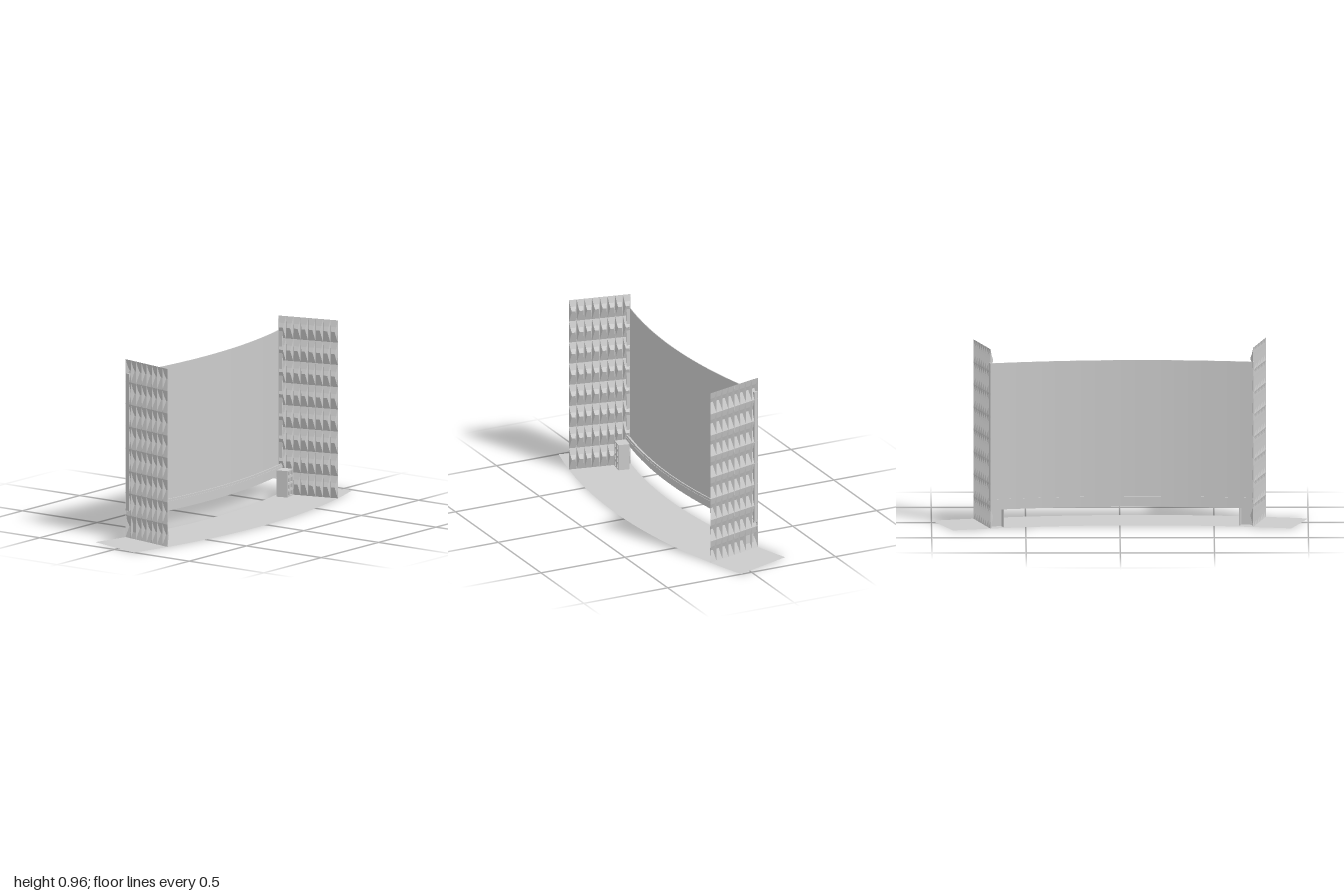
import * as THREE from 'three';

const CX = -0.11, CZ = -3.1;          // centre of the curved plan
const R_IN = 3.01, R_OUT = 3.35;
const T_LEFT = -0.2, T_RIGHT = 0.268; // angles of the two side walls

const mat = new THREE.MeshStandardMaterial({ color: 0xcccccc, flatShading: true, side: THREE.DoubleSide });

function add(parent, geo, name) {
  const mesh = new THREE.Mesh(geo, mat);
  mesh.name = name;
  parent.add(mesh);
  return mesh;
}

// Plan outline of a ring sector between two radii and two angles
function sectorShape(r0, r1, t0, t1) {
  const s = new THREE.Shape();
  s.absarc(CX, CZ, r1, Math.PI / 2 - t0, Math.PI / 2 - t1, true);
  s.absarc(CX, CZ, r0, Math.PI / 2 - t1, Math.PI / 2 - t0, false);
  s.closePath();
  return s;
}

// Curved bar standing between y0 and y1
function curvedBar(r0, r1, y0, y1, t0 = T_LEFT, t1 = T_RIGHT, segments = 10) {
  const geo = new THREE.ExtrudeGeometry(sectorShape(r0, r1, t0, t1),
    { depth: y1 - y0, bevelEnabled: false, curveSegments: segments });
  geo.rotateX(Math.PI / 2);
  geo.translate(0, y1, 0);
  return geo;
}

// Thin wall pressed into rows of pockets that bulge towards the middle
function reliefWall(t, inward) {
  const cols = 8, rows = 8, height = 0.965, depth = 0.018;
  const profile = [[0, 0], [0.5, 1], [0.7, 0.5], [1, 0]]; // height in cell, bulge
  const pos = [], idx = [];
  for (let c = 0; c < cols; c++) {
    for (let r = 0; r < rows; r++) {
      const base = pos.length / 3;
      for (const [v, h] of profile) {
        const inset = 0.02 + 0.24 * h;
        [[0, 0], [inset, h], [1 - inset, h], [1, 0]].forEach(([u, bulge]) => {
          const rad = R_IN + (R_OUT - R_IN) * (c + u) / cols;
          const off = bulge * depth * inward;
          pos.push(CX + rad * Math.sin(t) + off * Math.cos(t),
            height * (r + v) / rows,
            CZ + rad * Math.cos(t) - off * Math.sin(t));
        });
      }
      for (let j = 0; j < 3; j++) {
        for (let i = 0; i < 3; i++) {
          const a = base + j * 4 + i;
          idx.push(a, a + 1, a + 5, a, a + 5, a + 4);
        }
      }
    }
  }
  const geo = new THREE.BufferGeometry();
  geo.setAttribute('position', new THREE.Float32BufferAttribute(pos, 3));
  geo.setIndex(idx);
  geo.computeVertexNormals();
  return geo;
}

// Small cabinet with a front grid of openings and an open back
function cabinet(name) {
  const g = new THREE.Group();
  g.name = name;
  const w = 0.072, h = 0.143, d = 0.062, wall = 0.004;
  const front = new THREE.Shape([[0, 0], [w, 0], [w, h], [0, h]].map(p => new THREE.Vector2(...p)));
  const cw = w / 2, ch = h / 4, m = 0.006;
  for (let i = 0; i < 2; i++) {
    for (let j = 0; j < 4; j++) {
      const x0 = i * cw + m, x1 = (i + 1) * cw - m, y0 = j * ch + m, y1 = (j + 1) * ch - m;
      front.holes.push(new THREE.Path([[x0, y0], [x0, y1], [x1, y1], [x1, y0]].map(p => new THREE.Vector2(...p))));
    }
  }
  const grid = new THREE.ExtrudeGeometry(front, { depth: 0.012, bevelEnabled: false });
  grid.translate(-w / 2, 0, d / 2 - 0.012);
  add(g, grid, 'frontGrid');
  add(g, new THREE.BoxGeometry(w, h, wall), 'innerPanel').position.set(0, h / 2, d / 2 - 0.018);
  add(g, new THREE.BoxGeometry(w, wall, d), 'top').position.y = h - wall / 2;
  for (const s of [-1, 1]) {
    add(g, new THREE.BoxGeometry(wall, h, d), 'side').position.set(s * (w - wall) / 2, h / 2, 0);
  }
  return g;
}

export function createModel() {
  const model = new THREE.Group();
  model.name = 'curvedStage';

  // Floor sheet
  const floor = new THREE.ShapeGeometry(sectorShape(R_IN, R_OUT, -0.269, 0.337), 24);
  floor.rotateX(Math.PI / 2);
  add(model, floor, 'floor');

  // Screen, its side strips, and the ledge below it
  add(model, curvedBar(3.012, 3.016, 0.15, 0.888), 'screen');
  const strip = 0.004;
  add(model, curvedBar(3.016, 3.036, 0.15, 0.888, T_LEFT, T_LEFT + strip, 1), 'rightStrip');
  add(model, curvedBar(3.016, 3.036, 0.15, 0.888, T_RIGHT - strip, T_RIGHT, 1), 'leftStrip');
  add(model, curvedBar(3.01, 3.038, 0.145, 0.156), 'ledge');
  add(model, curvedBar(3.03, 3.036, 0.156, 0.168), 'ledgeLip');
  add(model, curvedBar(3.012, 3.018, 0.1, 0.145), 'apron');

  // Side walls
  add(model, reliefWall(T_LEFT, 1), 'rightWall');
  add(model, reliefWall(T_RIGHT, -1), 'leftWall');

  // Cabinets under the ends of the ledge
  for (const [t, rad, name] of [[T_LEFT + 0.015, 3.07, 'rightCabinet'], [T_RIGHT - 0.015, 3.065, 'leftCabinet']]) {
    const c = cabinet(name);
    c.position.set(CX + rad * Math.sin(t), 0, CZ + rad * Math.cos(t));
    c.rotation.y = t;
    model.add(c);
  }
  return model;
}
